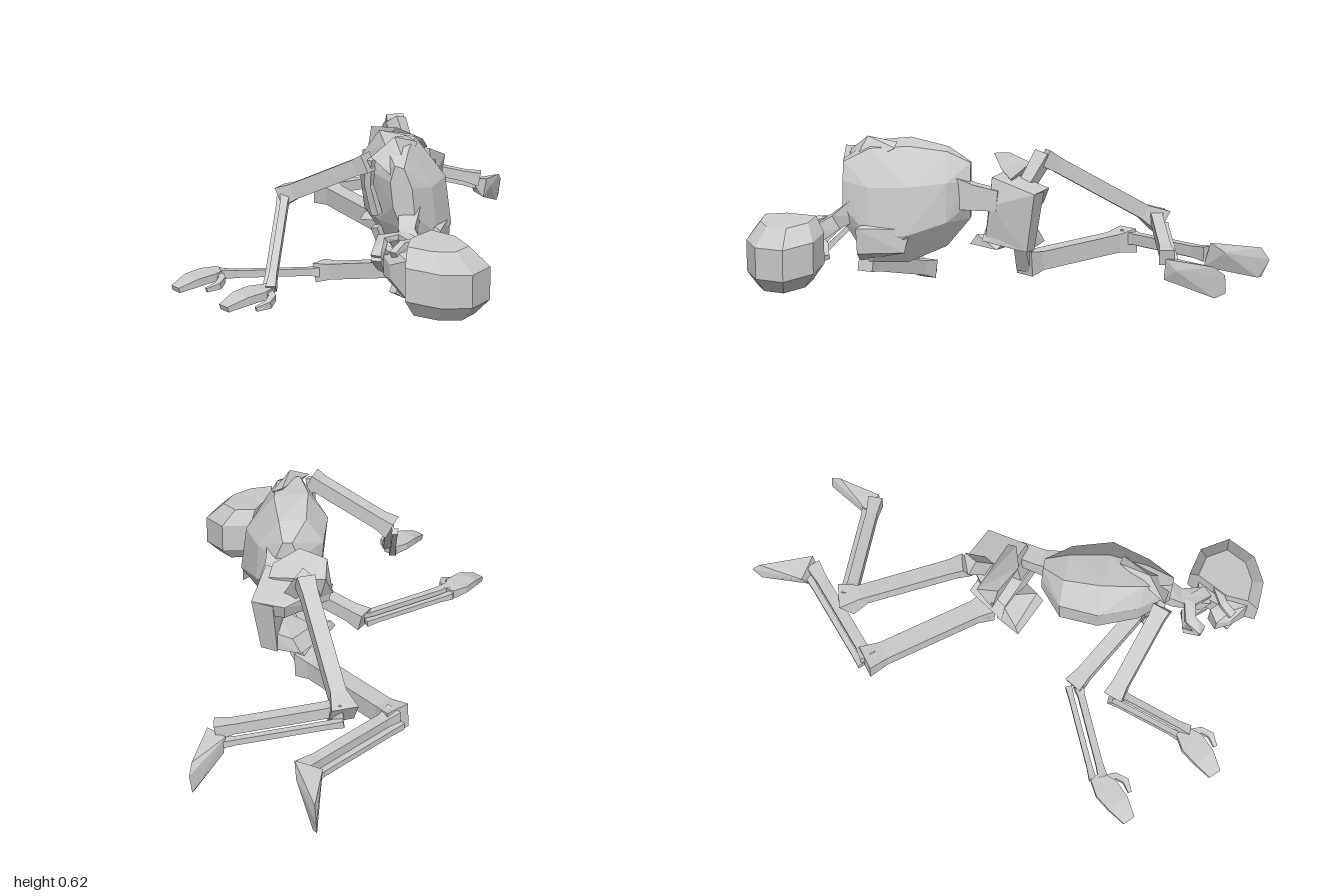
import * as THREE from 'three';
import { ConvexGeometry } from 'three/addons/geometries/ConvexGeometry.js';

const V = (p) => new THREE.Vector3(...p);

export function createModel() {
  const model = new THREE.Group();
  const material = new THREE.MeshStandardMaterial({ color: 0xcccccc, flatShading: true });

  function add(name, geometry) {
    const mesh = new THREE.Mesh(geometry, material);
    mesh.name = name;
    model.add(mesh);
  }

  // Faceted solid around a few corner points
  const hull = (name, pts) => add(name, new ConvexGeometry(pts.map(V)));

  // Four-sided bone through points, with a [width, depth] at each point
  function bone(name, points, sizes, sideHint = [0, 1, 0]) {
    const pts = points.map(V);
    const n = pts.length - 1;
    const geo = new THREE.BoxGeometry(1, 1, 1, 1, n, 1);
    const pos = geo.attributes.position;
    for (let i = 0; i < pos.count; i++) {
      const k = Math.round((pos.getY(i) + 0.5) * n);
      const dir = pts[Math.min(k + 1, n)].clone().sub(pts[Math.max(k - 1, 0)]).normalize();
      const side = V(sideHint).addScaledVector(dir, -dir.dot(V(sideHint))).normalize();
      const normal = side.clone().cross(dir);
      const p = pts[k].clone()
        .addScaledVector(side, pos.getX(i) * sizes[k][0])
        .addScaledVector(normal, pos.getZ(i) * sizes[k][1]);
      pos.setXYZ(i, p.x, p.y, p.z);
    }
    geo.computeVertexNormals();
    add(name, geo);
  }

  // Straight limb bone: flared ends, slimmer shaft
  function longBone(name, a, b, start, shaft, end) {
    const at = (t) => a.map((v, i) => v + (b[i] - v) * t);
    bone(name, [a, at(0.12), at(0.85), b],
      [[start, start], [shaft, shaft], [shaft, shaft], [end, end]]);
  }

  // Two thin parallel bones, separated by an offset
  function pair(name, a, b, off, w1, w2) {
    const shift = (p, s) => p.map((v, i) => v + off[i] * s);
    longBone(name + 'Main', shift(a, 1), shift(b, 1), w1 * 1.5, w1, w1 * 1.3);
    longBone(name + 'Thin', shift(a, -1), shift(b, -1), w2 * 1.2, w2, w2 * 1.3);
  }

  // Rib cage: eight-sided rings [along, chest side, back side, low, high, lean of the top to the chest]
  const ribs = [];
  [[0.04, -0.03, 0.06, 0.3, 0.52, 0], [0.13, -0.125, 0.14, 0.2, 0.57, 0.02], [0.28, -0.135, 0.2, 0.15, 0.6, 0.05],
    [0.43, -0.07, 0.16, 0.15, 0.59, 0.05], [0.535, 0.01, 0.09, 0.3, 0.53, 0.02]].forEach(([s, t0, t1, y0, y1, lean]) => {
    for (let i = 0; i < 8; i++) {
      const a = (i + 0.5) * Math.PI / 4;
      const t = (t0 + t1) / 2 + (t1 - t0) / 2 * Math.cos(a) * 1.06 - lean * Math.sin(a) * 0.6;
      const y = (y0 + y1) / 2 + (y1 - y0) / 2 * Math.sin(a) * 1.07 - lean * Math.cos(a) * 0.6;
      ribs.push([0.406 * s + 0.914 * t, y, 0.914 * s - 0.406 * t]);
    }
  });
  hull('ribCage', ribs);

  // Spine
  bone('lumbarSpine', [[0.05, 0.38, -0.1], [0.07, 0.39, 0], [0.1, 0.41, 0.09]],
    [[0.08, 0.07], [0.1, 0.07], [0.13, 0.08]]);
  bone('neck', [[0.26, 0.35, 0.4], [0.29, 0.29, 0.49], [0.37, 0.23, 0.57]],
    [[0.08, 0.08], [0.06, 0.06], [0.07, 0.07]]);

  // Pelvis: a back plate joining an upper and a lower side, open towards the belly
  hull('sacrum', [[-0.01, 0.47, -0.08], [0.07, 0.47, -0.08], [-0.04, 0.41, -0.25], [0.05, 0.41, -0.25],
    [-0.04, 0.18, -0.21], [0.03, 0.18, -0.21], [0.0, 0.2, -0.05], [0.07, 0.22, -0.05], [0.09, 0.36, -0.08]]);
  hull('upperPelvis', [[-0.08, 0.48, -0.07], [0.07, 0.47, -0.08], [-0.09, 0.42, -0.25], [0.05, 0.41, -0.25],
    [-0.2, 0.44, -0.05], [-0.19, 0.37, -0.06], [0.05, 0.4, -0.07], [-0.08, 0.36, -0.23], [0.03, 0.35, -0.23]]);
  hull('lowerPelvis', [[-0.14, 0.2, -0.21], [0.03, 0.18, -0.21], [-0.16, 0.18, -0.04], [0.08, 0.22, -0.04],
    [-0.1, 0.25, -0.2], [0.03, 0.26, -0.2], [-0.12, 0.23, -0.05], [0.06, 0.27, -0.05]]);
  hull('upperHipWing', [[-0.17, 0.54, -0.04], [-0.05, 0.55, -0.03], [0.03, 0.5, -0.1], [-0.2, 0.5, -0.12],
    [-0.2, 0.4, -0.05], [-0.17, 0.4, -0.1], [0.03, 0.46, -0.14]]);
  hull('lowerHipWing', [[-0.17, 0.18, 0.05], [0.0, 0.19, 0.05], [-0.16, 0.21, 0.03], [0, 0.23, 0.02],
    [-0.16, 0.17, -0.06], [0.03, 0.18, -0.08], [-0.1, 0.23, -0.1]]);

  // Legs
  const legs = [
    { side: 'upper', hip: [-0.15, 0.53, -0.2], knee: [-0.47, 0.26, -0.57], ankle: [-0.06, 0.17, -0.77],
      thigh: [0.07, 0.06, 0.1], off: [0.01, 0.02, 0.016] },
    { side: 'lower', hip: [-0.12, 0.11, -0.13], knee: [-0.61, 0.15, -0.38], ankle: [-0.43, 0.14, -0.8],
      thigh: [0.1, 0.075, 0.1], off: [0.018, 0.012, 0.005] },
  ];
  for (const { side, hip, knee, ankle, thigh, off } of legs) {
    longBone(side + 'Thigh', hip, knee, ...thigh);
    pair(side + 'Shin', knee, ankle, off, 0.045, 0.024);
  }
  bone('upperHipJoint', [[-0.15, 0.54, -0.2], [-0.08, 0.43, -0.16]], [[0.06, 0.06], [0.05, 0.05]], [0, 0, 1]);
  bone('lowerHipJoint', [[-0.14, 0.09, -0.13], [-0.07, 0.21, -0.14]], [[0.06, 0.06], [0.05, 0.05]], [0, 0, 1]);
  hull('upperFoot', [[-0.1, 0.18, -0.77], [-0.02, 0.19, -0.76], [-0.03, 0.11, -0.75], [-0.1, 0.12, -0.79],
    [-0.02, 0.15, -0.8], [-0.05, 0.17, -0.94], [-0.06, 0.05, -0.94], [-0.06, 0.14, -0.98], [-0.07, 0.07, -0.98]]);
  hull('lowerFoot', [[-0.49, 0.18, -0.79], [-0.39, 0.2, -0.81], [-0.4, 0.1, -0.78], [-0.47, 0.1, -0.78],
    [-0.42, 0.16, -0.86], [-0.54, 0.17, -0.97], [-0.56, 0.12, -1], [-0.55, 0.05, -0.97], [-0.53, 0.05, -0.96]]);

  // Arms
  const arms = [
    { side: 'upper', shoulder: [0.14, 0.54, 0.5], elbow: [-0.21, 0.38, 0.53], wrist: [-0.1, 0.1, 0.8],
      off: [0.016, 0.012, 0.006] },
    { side: 'lower', shoulder: [0.25, 0.13, 0.38], elbow: [-0.18, 0.04, 0.33], wrist: [-0.44, 0.07, 0.63],
      off: [0.014, 0.004, 0.014] },
  ];
  for (const { side, shoulder, elbow, wrist, off } of arms) {
    longBone(side + 'UpperArm', shoulder, elbow, 0.07, 0.06, 0.075);
    pair(side + 'Forearm', elbow, wrist, off, 0.028, 0.022);
    // Palm bending into a slab of fingers, and a curved thumb
    const at = (x, y, z) => [wrist[0] + x, wrist[1] + y, wrist[2] + z];
    bone(side + 'Hand', [at(0, 0, -0.01), at(-0.015, 0.005, 0.05), at(-0.035, 0, 0.12), at(-0.06, -0.02, 0.19)],
      [[0.04, 0.05], [0.03, 0.1], [0.03, 0.09], [0.02, 0.05]]);
    bone(side + 'Thumb', [at(0, 0, 0.01), at(0.05, -0.005, 0.05), at(0.06, -0.015, 0.09), at(0.035, -0.025, 0.13)],
      [[0.03, 0.03], [0.025, 0.025], [0.025, 0.025], [0.015, 0.015]]);
  }

  // Shoulder blades and collar bones
  hull('upperShoulderBlade', [[0.17, 0.6, 0.28], [0.21, 0.58, 0.27], [0.19, 0.62, 0.4], [0.28, 0.48, 0.44],
    [0.25, 0.47, 0.47], [0.15, 0.56, 0.5], [0.18, 0.55, 0.32]]);
  hull('lowerShoulderBlade', [[0.29, 0.28, 0.16], [0.3, 0.19, 0.18], [0.36, 0.28, 0.36], [0.35, 0.18, 0.36],
    [0.33, 0.29, 0.35], [0.27, 0.14, 0.39], [0.29, 0.27, 0.2]]);
  bone('upperCollarBone', [[0.15, 0.34, 0.46], [0.13, 0.45, 0.48], [0.14, 0.55, 0.49]],
    [[0.03, 0.03], [0.025, 0.025], [0.03, 0.03]], [1, 0, 0]);
  bone('lowerCollarBone', [[0.14, 0.29, 0.45], [0.16, 0.21, 0.43], [0.23, 0.14, 0.4]],
    [[0.03, 0.03], [0.025, 0.025], [0.03, 0.03]], [1, 0, 0]);

  // The head lies on its side with the crown dipping: height from sideways offset and x
  const headY = (d, x) => 0.19 + d - 0.17 * (x - 0.5);

  // Cranium: one outline, narrowed towards both temples
  const outline = [[0.41, 0.47], [0.53, 0.445], [0.64, 0.51], [0.635, 0.635], [0.56, 0.725], [0.445, 0.77],
    [0.4, 0.66]];
  const cranium = [];
  for (const [d, s, dx] of [[-0.12, 0.72, -0.01], [-0.06, 1, 0], [0.06, 1, 0], [0.12, 0.72, -0.035]]) {
    for (const [ox, z] of outline) {
      const x = 0.51 + (ox - 0.51) * s + dx;
      cranium.push([x, headY(d, x), 0.61 + (z - 0.61) * s]);
    }
  }
  hull('cranium', cranium);

  // Face
  const facePoints = (list) => list.flatMap(([x, d, z]) => [[x, headY(d, x), z], [x, headY(-d, x), z]]);
  hull('skullBase', facePoints([[0.36, 0.05, 0.54], [0.44, 0.05, 0.5], [0.44, 0.05, 0.66], [0.37, 0.05, 0.64]]));
  hull('upperJaw', facePoints([[0.3, 0.035, 0.67], [0.33, 0.055, 0.62], [0.42, 0.08, 0.65], [0.35, 0.025, 0.71],
    [0.37, 0.07, 0.69], [0.43, 0.07, 0.73]]));
  for (const s of [-1, 1]) {
    const at = (x, d, z) => [x, headY(s * d, x), z];
    bone('cheekBone', [at(0.42, 0.1, 0.58), at(0.37, 0.09, 0.65), at(0.36, 0.06, 0.7)],
      [[0.025, 0.03], [0.025, 0.03], [0.03, 0.03]]);
    bone('jawSide', [at(0.38, 0.075, 0.57), at(0.3, 0.075, 0.54), at(0.245, 0.055, 0.58), at(0.25, 0, 0.63)],
      [[0.02, 0.05], [0.02, 0.05], [0.025, 0.045], [0.03, 0.04]]);
  }

  return model;
}
